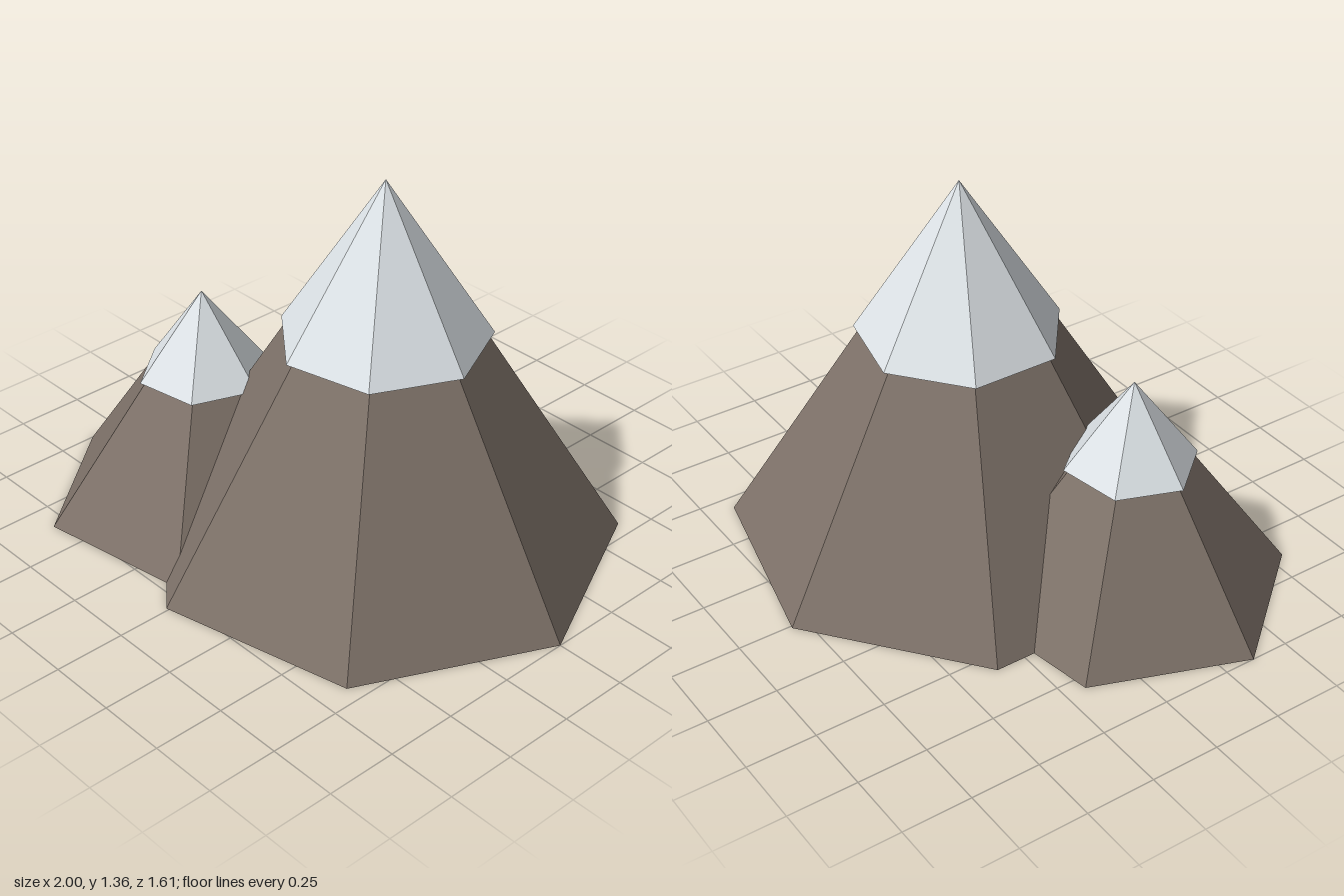
import * as THREE from 'three';

const rock = new THREE.MeshStandardMaterial({ color: 0x7d7168, flatShading: true });
rock.name = 'brown rock';
const snow = new THREE.MeshStandardMaterial({ color: 0xdde3e7, flatShading: true });
snow.name = 'pale snow';

// Faceted cone whose base sits at baseY
function facetedCone(name, material, radius, baseY, topY, sides) {
  const geometry = new THREE.ConeGeometry(radius, topY - baseY, sides, 1);
  geometry.translate(0, (baseY + topY) / 2, 0);
  const mesh = new THREE.Mesh(geometry, material);
  mesh.name = name;
  return mesh;
}

// Rock cone with a slightly wider snow cap over its tip
function createPeak({ name, x, z, turn, sides, radius, rockTop, capRadius, capBase, capTop }) {
  const peak = new THREE.Group();
  peak.name = name;
  peak.add(
    facetedCone('rockSlope', rock, radius, 0, rockTop, sides),
    facetedCone('snowCap', snow, capRadius, capBase, capTop, sides)
  );
  peak.position.set(x, 0, z);
  peak.rotation.y = turn;
  return peak;
}

export function createModel() {
  const model = new THREE.Group();
  model.name = 'mountains';
  model.add(
    createPeak({
      name: 'tallPeak', x: 0.174, z: 0, turn: Math.PI / 2, sides: 7,
      radius: 0.826, rockTop: 1.345, capRadius: 0.364, capBase: 0.795, capTop: 1.363
    }),
    createPeak({
      name: 'smallPeak', x: -0.436, z: 0.268, turn: 0.69, sides: 6,
      radius: 0.573, rockTop: 0.8, capRadius: 0.232, capBase: 0.505, capTop: 0.817
    })
  );
  return model;
}
